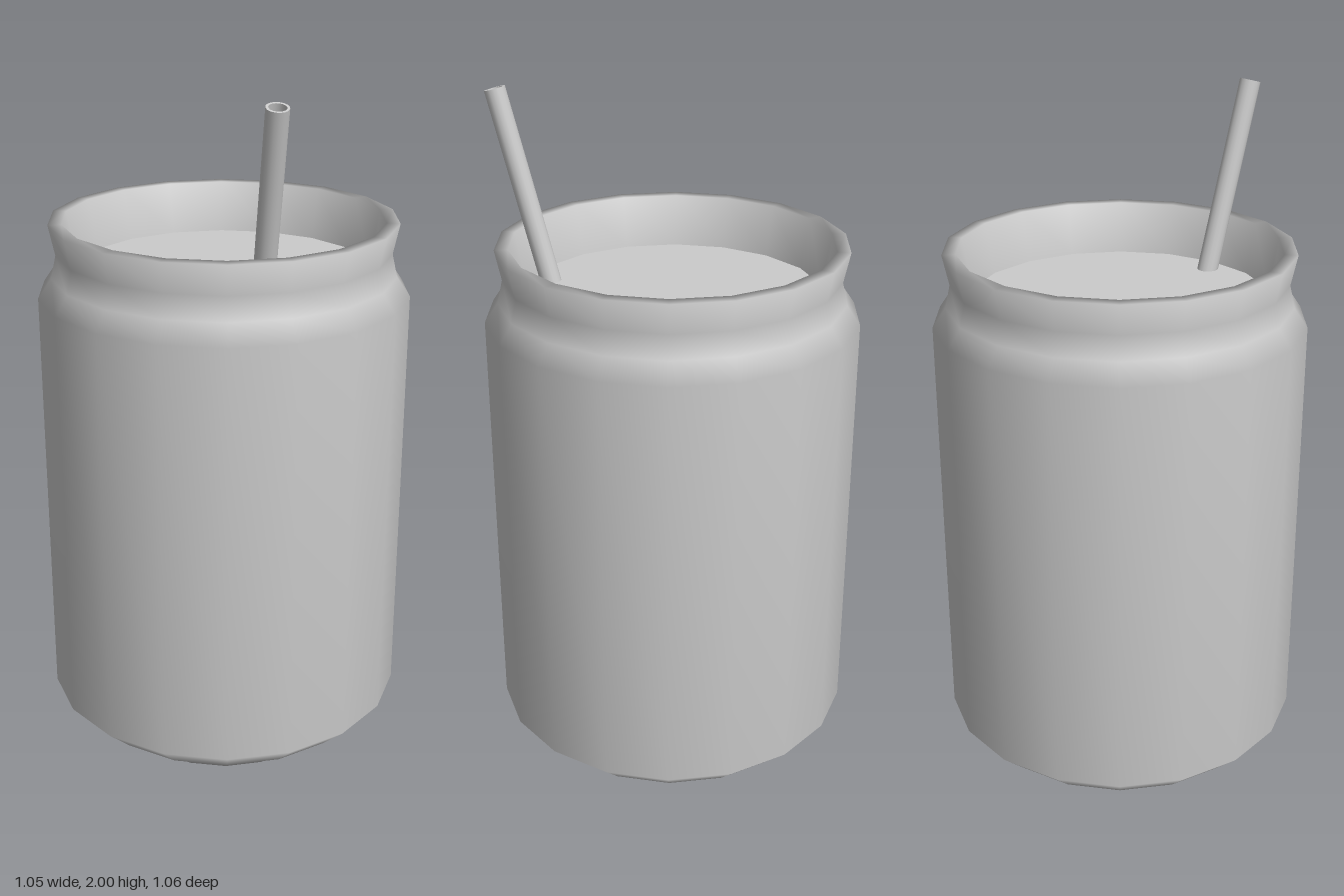
import * as THREE from 'three';

const material = () => new THREE.MeshStandardMaterial({ color: 0xcccccc });

function lathe(points, sides) {
  const profile = points.map(([r, y]) => new THREE.Vector2(r, y));
  return new THREE.LatheGeometry(profile, sides, Math.PI / 2);
}

function addMesh(parent, name, geometry) {
  const mesh = new THREE.Mesh(geometry, material());
  mesh.name = name;
  parent.add(mesh);
  return mesh;
}

export function createModel() {
  const model = new THREE.Group();
  model.name = 'drinkCan';
  const sides = 18;
  const floorY = 1.46;

  // Can: closed base, chamfer, wall, pinched neck, flared rim and inner wall
  const can = new THREE.Group();
  can.name = 'can';
  can.position.z = -0.012;
  model.add(can);
  addMesh(can, 'canBody', lathe([
    [0, 0], [0.31, 0], [0.335, 0.042], [0.446, 0.1], [0.525, 0.175],
    [0.525, 1.4], [0.487, 1.455], [0.472, 1.52], [0.49, 1.606],
    [0.452, 1.606], [0.425, floorY],
  ], sides));

  // Flat surface recessed below the rim
  const lid = addMesh(can, 'recessedLid', new THREE.CircleGeometry(0.425, sides));
  lid.rotation.x = -Math.PI / 2;
  lid.position.y = floorY;

  // Hollow straw leaning towards the front, its foot just under the lid
  const foot = new THREE.Vector3(0.03, 1.44, 0.345);
  const tip = new THREE.Vector3(0.03, 1.992, 0.499);
  const axis = tip.clone().sub(foot);
  const length = axis.length();
  const straw = addMesh(model, 'straw', lathe([
    [0.03, 0], [0.03, length], [0.03, length],
    [0.023, length], [0.023, length], [0.023, 0],
  ], 16));
  straw.material.side = THREE.DoubleSide;
  straw.position.copy(foot);
  straw.quaternion.setFromUnitVectors(new THREE.Vector3(0, 1, 0), axis.normalize());

  return model;
}
